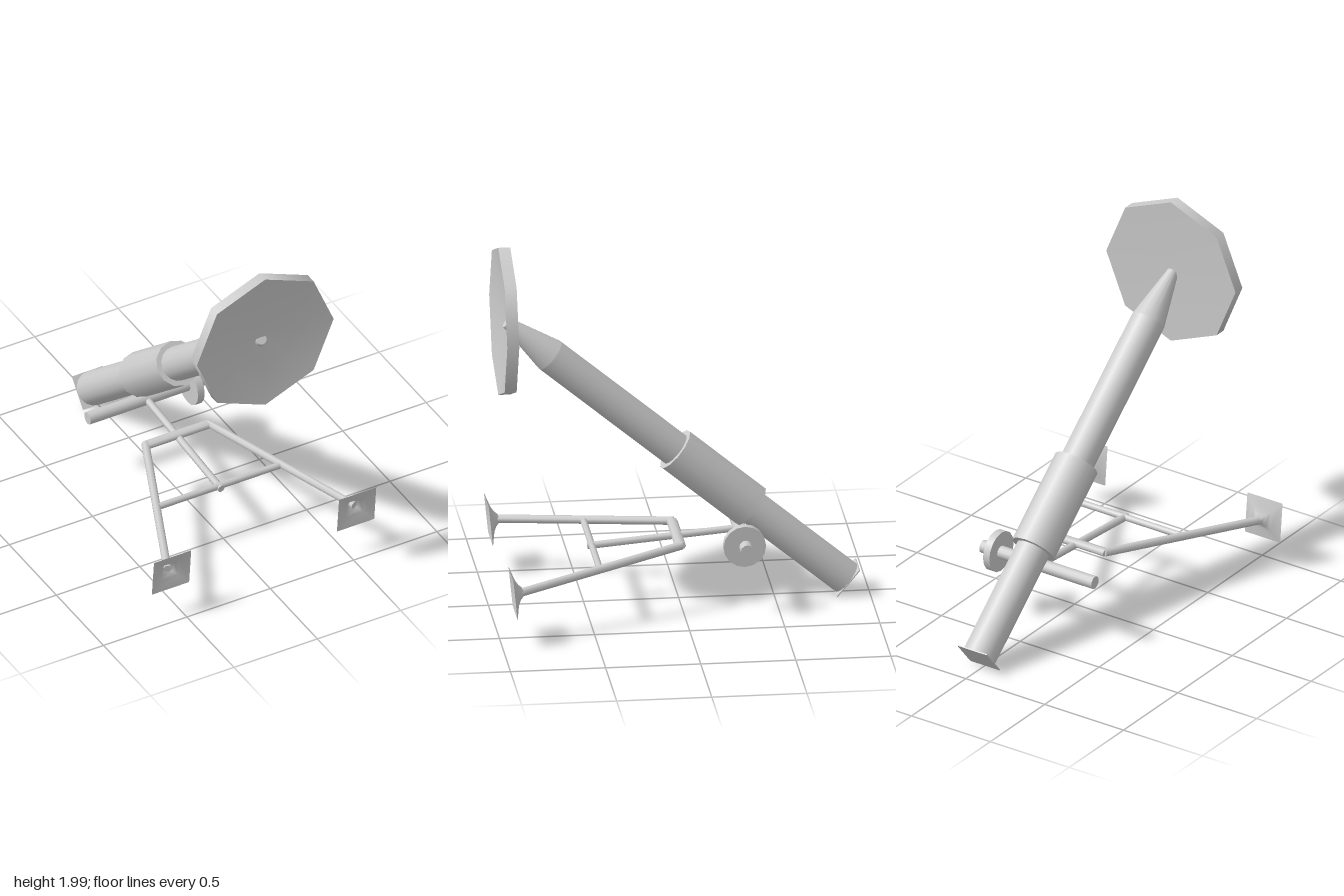
import * as THREE from 'three';

const metal = new THREE.MeshStandardMaterial({ color: 0xcccccc });
metal.name = 'light grey metal';
const sheet = new THREE.MeshStandardMaterial({ color: 0xcccccc, side: THREE.DoubleSide });
sheet.name = 'light grey sheet metal';

const UP = new THREE.Vector3(0, 1, 0);

function add(parent, name, geometry, material = metal) {
  const mesh = new THREE.Mesh(geometry, material);
  mesh.name = name;
  parent.add(mesh);
  return mesh;
}

// Cylinder or cone running from point a to point b
function rod(parent, name, a, b, r0, r1 = r0, sides = 12) {
  const from = new THREE.Vector3(...a), to = new THREE.Vector3(...b);
  const dir = to.clone().sub(from);
  const mesh = add(parent, name, new THREE.CylinderGeometry(r1, r0, dir.length(), sides));
  mesh.position.copy(from).add(to).multiplyScalar(0.5);
  mesh.quaternion.setFromUnitVectors(UP, dir.normalize());
  return mesh;
}

const lathe = (points, sides) =>
  new THREE.LatheGeometry(points.map(p => new THREE.Vector2(...p)), sides);

export function createModel() {
  const model = new THREE.Group();
  model.name = 'mortar';

  // Barrel assembly, built upright and then tilted forward
  const tube = new THREE.Group();
  tube.name = 'barrelAssembly';
  tube.position.set(0, 0.083, -0.882);
  tube.rotation.x = THREE.MathUtils.degToRad(50);
  model.add(tube);
  rod(tube, 'barrel', [0, 0, 0], [0, 2.033, 0], 0.0925, 0.0925, 16);
  rod(tube, 'taperedTip', [0, 2.033, 0], [0, 2.333, 0], 0.0925, 0.03, 16);
  rod(tube, 'sleeve', [0, 0.655, 0], [0, 1.175, 0], 0.122);
  add(tube, 'squareEndPlate', new THREE.BoxGeometry(0.185, 0.006, 0.185));

  // Octagonal base plate with a shallow dished front
  const plate = new THREE.Group();
  plate.name = 'basePlate';
  plate.position.set(0, 1.59, 0.885);
  plate.rotation.x = Math.PI / 2;
  model.add(plate);
  add(plate, 'plateRim', lathe([[0.41, 0], [0.41, 0.063]], 8));
  add(plate, 'plateFront', lathe([[0.41, 0.063], [0.2, 0.022], [0, 0.014]], 8), sheet);
  add(plate, 'plateBack', lathe([[0, 0.008], [0.2, 0.007], [0.41, 0]], 8), sheet);

  // Axle with hand wheel
  rod(model, 'axle', [-0.35, 0.385, -0.32], [0.36, 0.385, -0.32], 0.035);
  rod(model, 'handWheel', [0.247, 0.385, -0.315], [0.287, 0.385, -0.315], 0.112, 0.112, 16);

  // Bipod frame
  const bar = rod(model, 'upperCrossbar', [-0.19, 0.368, 0.013], [0.19, 0.368, 0.013], 0.02, 0.02, 8);
  bar.scale.z = 1.5;
  rod(model, 'lowerCrossbar', [-0.36, 0.325, 0.457], [0.36, 0.325, 0.457], 0.018, 0.018, 8);
  rod(model, 'centreStrut', [0, 0.387, -0.32], [0, 0.32, 0.48], 0.02, 0.02, 8);

  // Legs and flared square feet, mirrored
  const footShape = lathe([[0.158, 0], [0.075, 0.02], [0.045, 0.034], [0.022, 0.055]], 4);
  footShape.rotateY(Math.PI / 4).rotateX(-Math.PI / 2);
  for (const [s, side] of [[1, 'left'], [-1, 'right']]) {
    rod(model, side + 'Leg', [s * 0.186, 0.37, 0.005], [s * 0.56, 0.282, 0.9], 0.022, 0.022, 8);
    const foot = add(model, side + 'Foot', footShape, sheet);
    foot.position.set(s * 0.555, 0.279, 0.935);
    foot.rotation.x = 0.1;
  }
  return model;
}
